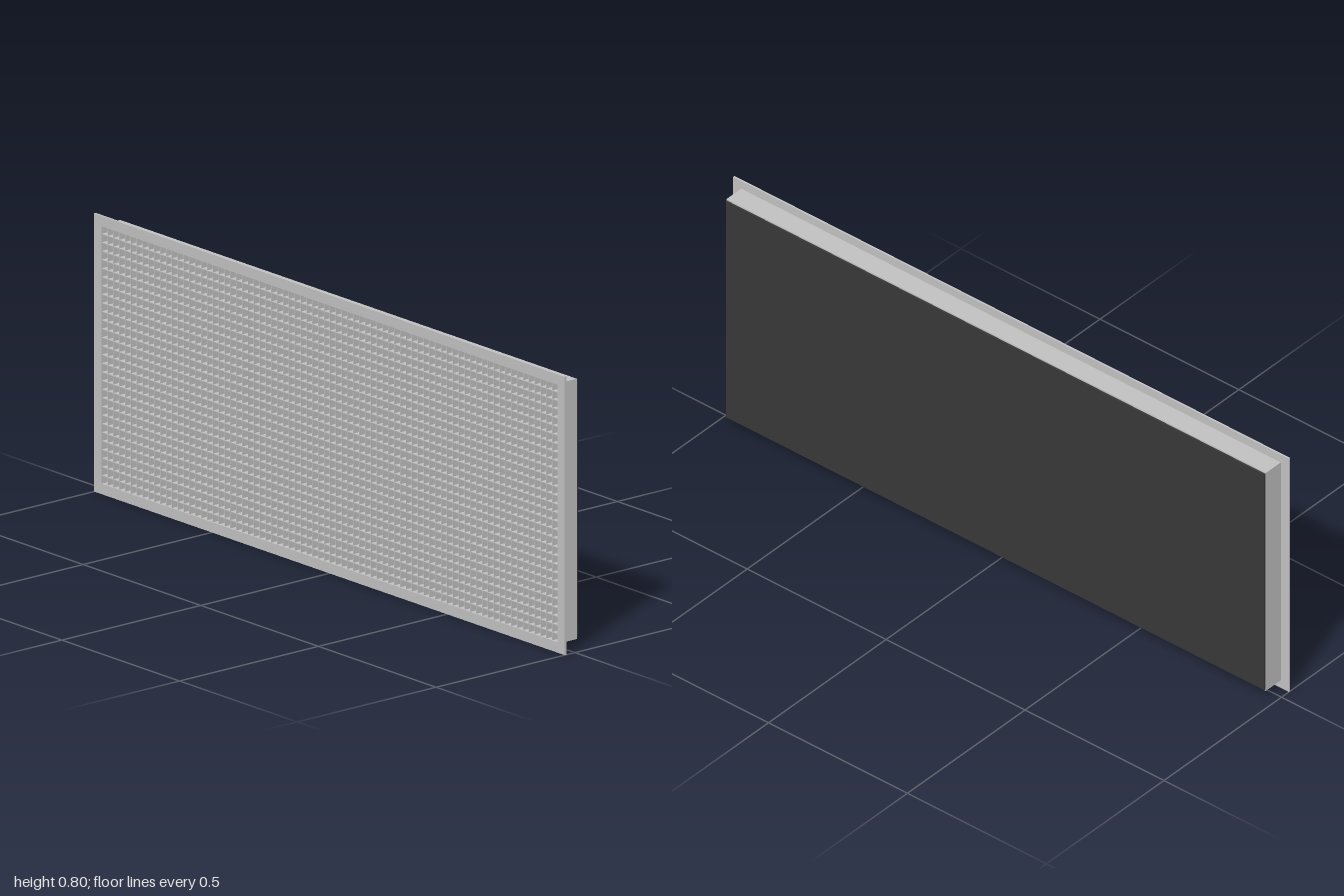
import * as THREE from 'three';
import { mergeGeometries } from 'three/addons/utils/BufferGeometryUtils.js';

const W = 1.94, H = 0.744, CY = 0.4;   // core opening
const COLS = 78, ROWS = 30, BLADE = 0.002;

// Rectangular ring, extruded from z0 to z1
function ring(w, h, holeW, holeH, z0, z1) {
  const rect = (path, a, b) => path.moveTo(-a / 2, -b / 2).lineTo(a / 2, -b / 2)
    .lineTo(a / 2, b / 2).lineTo(-a / 2, b / 2).closePath();
  const shape = rect(new THREE.Shape(), w, h);
  shape.holes.push(rect(new THREE.Path(), holeW, holeH));
  return new THREE.ExtrudeGeometry(shape, { depth: z1 - z0, bevelEnabled: false }).translate(0, CY, z0);
}

function slab(w, h, z0, z1, x = 0, y = 0) {
  return new THREE.BoxGeometry(w, h, z1 - z0).translate(x, CY + y, (z0 + z1) / 2);
}

export function createModel() {
  const model = new THREE.Group();
  model.name = 'eggcrateGrille';
  const aluminium = new THREE.MeshStandardMaterial({ color: 0xc0c0c0 });
  aluminium.name = 'aluminium grey';
  const filterBlack = new THREE.MeshStandardMaterial({ color: 0x383838 });
  filterBlack.name = 'filter black';

  const add = (name, geometry, material) => {
    const mesh = new THREE.Mesh(geometry, material);
    mesh.name = name;
    model.add(mesh);
  };

  // Flat flange around the front, and the collar behind it
  add('flange', ring(2, 0.8, W - 0.002, H - 0.004, 0.031, 0.037), aluminium);
  add('collar', ring(W + 0.002, 0.748, W - 0.002, H - 0.004, -0.032, 0.031), aluminium);

  // Crossed blades of the core
  const z0 = -0.028, z1 = 0.035;
  const upright = [], level = [];
  for (let i = 1; i < COLS; i++) upright.push(slab(BLADE, H, z0, z1, (i / COLS - 0.5) * W));
  for (let j = 1; j < ROWS; j++) level.push(slab(W, BLADE, z0, z1 - 0.0002, 0, (j / ROWS - 0.5) * H));
  add('uprightBlades', mergeGeometries(upright), aluminium);
  add('levelBlades', mergeGeometries(level), aluminium);

  // Backing sheet behind the cells, and the dark filter pad on the rear
  add('backingSheet', slab(W - 0.002, H - 0.004, -0.032, -0.028), aluminium);
  add('filterPad', slab(W - 0.002, 0.74, -0.037, -0.032), filterBlack);

  return model;
}
